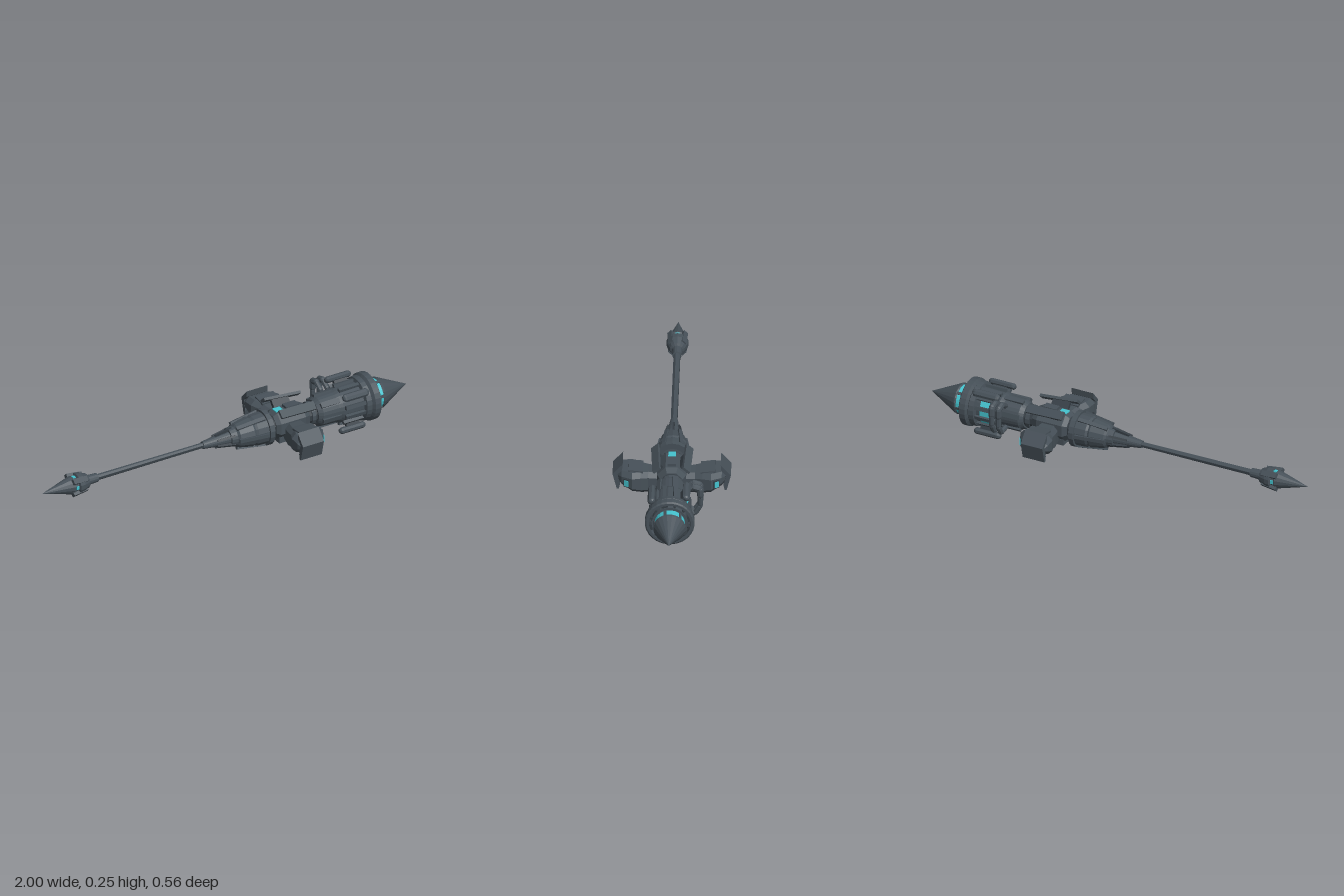
import * as THREE from 'three';

const AXIS_Y = 0.13;

export function createModel() {
  const root = new THREE.Group();
  root.name = 'rocketStaff';
  const body = new THREE.Group();
  body.name = 'body';
  body.position.y = AXIS_Y;
  root.add(body);

  const mat = (name, color) => {
    const m = new THREE.MeshStandardMaterial({ color });
    m.name = name;
    return m;
  };
  const steel = mat('darkSteel', 0x465058);
  const recess = mat('recessSteel', 0x363e45);
  const cyan = mat('cyanGlow', 0x45c3cf);

  // Facets a geometry and adds it as a named mesh
  const add = (name, geo, material = steel) => {
    const g = geo.index ? geo.toNonIndexed() : geo;
    g.computeVertexNormals();
    const mesh = new THREE.Mesh(g, material);
    mesh.name = name;
    body.add(mesh);
    return mesh;
  };
  // Turned part along x; profile rows are [x, radius]
  const turned = (name, rows, sides, material) => {
    const g = new THREE.LatheGeometry(rows.map(([x, r]) => new THREE.Vector2(r, x)), sides);
    g.rotateZ(-Math.PI / 2).rotateX(Math.PI / sides);
    return add(name, g, material);
  };
  // Block set at radius r and turned about the main axis (0 = up, positive = towards +z)
  const radialBox = (name, x0, x1, r, h, w, angle, material, tilt = 0) => {
    const g = new THREE.BoxGeometry(x1 - x0, h, w);
    g.rotateZ(tilt).translate((x0 + x1) / 2, r, 0).rotateX(angle);
    return add(name, g, material);
  };
  // Mirrors a geometry to the other side in z, keeping faces outward
  const mirrorZ = (geo) => {
    const g = geo.index ? geo.toNonIndexed() : geo.clone();
    const p = g.attributes.position;
    const a = new THREE.Vector3(), b = new THREE.Vector3();
    for (let i = 0; i < p.count; i++) p.setZ(i, -p.getZ(i));
    for (let i = 0; i < p.count; i += 3) {
      a.fromBufferAttribute(p, i + 1);
      b.fromBufferAttribute(p, i + 2);
      p.setXYZ(i + 1, b.x, b.y, b.z);
      p.setXYZ(i + 2, a.x, a.y, a.z);
    }
    return g;
  };
  const addPair = (name, geo, material) => {
    add(name + 'Left', mirrorZ(mirrorZ(geo)), material);
    add(name + 'Right', mirrorZ(geo), material);
  };
  // Chamfered block lofted along z; stations are [z, x0, x1, y0, y1]
  const loftZ = (stations, c) => {
    const pos = [], idx = [];
    for (const [z, x0, x1, y0, y1] of stations) {
      [[x1, y0 + c], [x1, y1 - c], [x1 - c, y1], [x0 + c, y1],
        [x0, y1 - c], [x0, y0 + c], [x0 + c, y0], [x1 - c, y0]].forEach(([x, y]) => pos.push(x, y, z));
    }
    const last = (stations.length - 1) * 8;
    for (let s = 0; s < last; s += 8) {
      for (let i = 0; i < 8; i++) {
        const j = (i + 1) % 8;
        idx.push(s + i, s + j, s + 8 + j, s + i, s + 8 + j, s + 8 + i);
      }
    }
    for (let i = 1; i < 7; i++) idx.push(0, i + 1, i, last, last + i, last + i + 1);
    const g = new THREE.BufferGeometry();
    g.setAttribute('position', new THREE.Float32BufferAttribute(pos, 3));
    g.setIndex(idx);
    return g;
  };
  // Rounded link between two points
  const link = (name, a, b, radius, material) => {
    const d = new THREE.Vector3().subVectors(b, a);
    const g = new THREE.CapsuleGeometry(radius, d.length(), 3, 8);
    g.applyQuaternion(new THREE.Quaternion().setFromUnitVectors(new THREE.Vector3(0, 1, 0), d.normalize()));
    g.translate((a.x + b.x) / 2, (a.y + b.y) / 2, (a.z + b.z) / 2);
    return add(name, g, material);
  };

  // Rear spike and its collar
  turned('rearSpike', [[-1, 0], [-0.84, 0.045], [-0.835, 0.04], [-0.82, 0.04], [-0.815, 0.053],
    [-0.79, 0.05], [-0.755, 0.035], [-0.75, 0.024], [-0.7, 0.022], [-0.695, 0]], 14);
  for (let i = 0; i < 4; i++) {
    const a = Math.PI / 4 + i * Math.PI / 2;
    radialBox('spikeClamp', -0.85, -0.77, 0.044, 0.016, 0.026, a, steel, -0.12);
    radialBox('spikeLight', -0.835, -0.82, 0.0385, 0.008, 0.018, a + Math.PI / 4, cyan);
  }

  // Long thin shaft with side ridges
  turned('shaft', [[-0.7, 0.015], [-0.12, 0.013]], 8);
  for (const s of [-1, 1]) radialBox('shaftRidge', -0.7, -0.1, 0.012, 0.008, 0.01, s * Math.PI / 2, recess);

  // Flared socket
  turned('socket', [[-0.12, 0], [-0.12, 0.018], [0.02, 0.035], [0.02, 0.045], [0.05, 0.05],
    [0.06, 0.06], [0.13, 0.074], [0.14, 0.07], [0.15, 0.076], [0.205, 0.079], [0.205, 0.089],
    [0.23, 0.089], [0.23, 0.06], [0.24, 0]], 18);
  for (let i = 0; i < 6; i++) {
    radialBox('socketRib', 0.05, 0.2, 0.071, 0.012, 0.018, i * Math.PI / 3 + Math.PI / 6, steel, 0.14);
    radialBox('socketFin', -0.05, 0.04, 0.036, 0.014, 0.01, i * Math.PI / 3, recess, 0.18);
  }

  // Centre hub and necks
  turned('rearNeck', [[0.22, 0.052], [0.5, 0.052]], 12, recess);
  turned('hub', [[0.255, 0], [0.255, 0.058], [0.275, 0.074], [0.41, 0.074], [0.44, 0.058], [0.44, 0]], 8);
  turned('neckRing', [[0.455, 0.05], [0.455, 0.057], [0.475, 0.057], [0.475, 0.05]], 16);
  radialBox('hubWindow', 0.275, 0.315, 0.068, 0.009, 0.036, 0, cyan);
  radialBox('hubTopBlock', 0.33, 0.4, 0.072, 0.018, 0.04, 0, steel);
  radialBox('hubBelly', 0.28, 0.42, -0.075, 0.03, 0.08, 0, steel);
  for (const s of [-1, 1]) {
    radialBox('hubFin', 0.26, 0.455, 0.113, 0.013, 0.042, s * 0.72, steel, -0.08);
    radialBox('finBracket', 0.3, 0.39, 0.088, 0.05, 0.018, s * 0.72, recess);
  }

  // Side wings with outer blades
  addPair('wing', loftZ([
    [0.05, 0.3, 0.4, -0.085, 0.02], [0.11, 0.285, 0.4, -0.086, 0.024], [0.145, 0.28, 0.415, -0.078, 0.03],
    [0.185, 0.26, 0.43, -0.064, 0.034], [0.235, 0.26, 0.4, -0.044, 0.03], [0.262, 0.27, 0.36, -0.03, 0.02],
  ], 0.022));
  const blade = new THREE.Shape([[0.278, 0.01], [0.23, 0.064], [0.233, 0.032], [0.255, 0.008],
    [0.243, -0.045], [0.248, -0.07], [0.258, -0.07]].map(([z, y]) => new THREE.Vector2(z, y)));
  const bladeGeo = new THREE.ExtrudeGeometry(blade, { depth: 0.115, bevelEnabled: false });
  addPair('wingBlade', bladeGeo.rotateY(-Math.PI / 2).translate(0.38, 0, 0));
  addPair('wingTopPlate', new THREE.BoxGeometry(0.1, 0.01, 0.07).rotateX(-0.1).translate(0.345, 0.033, 0.17));
  addPair('wingWindowFrame', new THREE.BoxGeometry(0.008, 0.042, 0.03).rotateY(-0.54).translate(0.414, -0.018, 0.21), recess);
  addPair('wingWindow', new THREE.BoxGeometry(0.009, 0.03, 0.021).rotateY(-0.54).translate(0.417, -0.018, 0.211), cyan);

  // Engine housing, with an open recessed front rim
  turned('housing', [[0.485, 0], [0.485, 0.06], [0.505, 0.074], [0.59, 0.078], [0.61, 0.085],
    [0.72, 0.088], [0.725, 0.107], [0.75, 0.11], [0.755, 0.103], [0.765, 0.117], [0.795, 0.117],
    [0.8, 0.11], [0.8, 0.098], [0.77, 0.096], [0.77, 0.086], [0.797, 0.085], [0.797, 0.06]], 28);
  for (let i = 0; i < 12; i++) {
    const a = (i + 0.5) * Math.PI / 6;
    radialBox('housingRib', 0.615, 0.735, 0.09, 0.02, 0.018, a, steel);
    radialBox('rimClip', 0.77, 0.796, 0.092, 0.012, i % 3 ? 0.01 : 0.03, a, recess);
    if (i % 2) radialBox('collarRib', 0.5, 0.6, 0.076, 0.014, 0.024, a, steel);
  }
  for (const k of [-2, -3, -4]) radialBox('housingWindow', 0.635, 0.7, 0.085, 0.009, 0.026, k * Math.PI / 6, cyan);

  // Glowing band and nose cone
  turned('glowBand', [[0.77, 0.072], [0.845, 0.072]], 24, cyan);
  for (let i = 0; i < 6; i++) radialBox('bandStrut', 0.78, 0.845, 0.071, 0.009, 0.014, i * Math.PI / 3 + 0.3, steel);
  turned('noseCone', [[0.835, 0], [0.835, 0.072], [0.842, 0.077], [0.85, 0.074], [1, 0]], 20);

  // Four outrigger pods on brackets
  for (const [z, y] of [[0.056, -0.112], [-0.062, -0.112], [0.088, 0.079], [-0.076, 0.098]]) {
    const angle = Math.atan2(z, y);
    const r = Math.hypot(z, y);
    const pod = new THREE.CapsuleGeometry(0.016, 0.11, 3, 8);
    pod.rotateZ(-Math.PI / 2).scale(1, 1, 1.25).translate(0.67, r, 0).rotateX(angle);
    add('pod', pod);
    radialBox('podBracket', 0.64, 0.71, r - 0.02, 0.03, 0.018, angle, recess);
  }

  // Pair of jointed hoses on the back side
  const path = [[-0.065, 0.06], [-0.105, 0.086], [-0.138, 0.076], [-0.14, 0.035],
    [-0.14, -0.015], [-0.115, -0.058], [-0.065, -0.05]];
  for (const x of [0.572, 0.608]) {
    const pts = path.map(([z, y]) => new THREE.Vector3(x, y, z));
    for (let i = 0; i < pts.length - 1; i++) {
      const a = pts[i].clone().lerp(pts[i + 1], 0.12);
      const b = pts[i].clone().lerp(pts[i + 1], 0.88);
      link('hoseSegment', a, b, i === 1 || i === 2 ? 0.016 : 0.013);
    }
  }
  return root;
}
